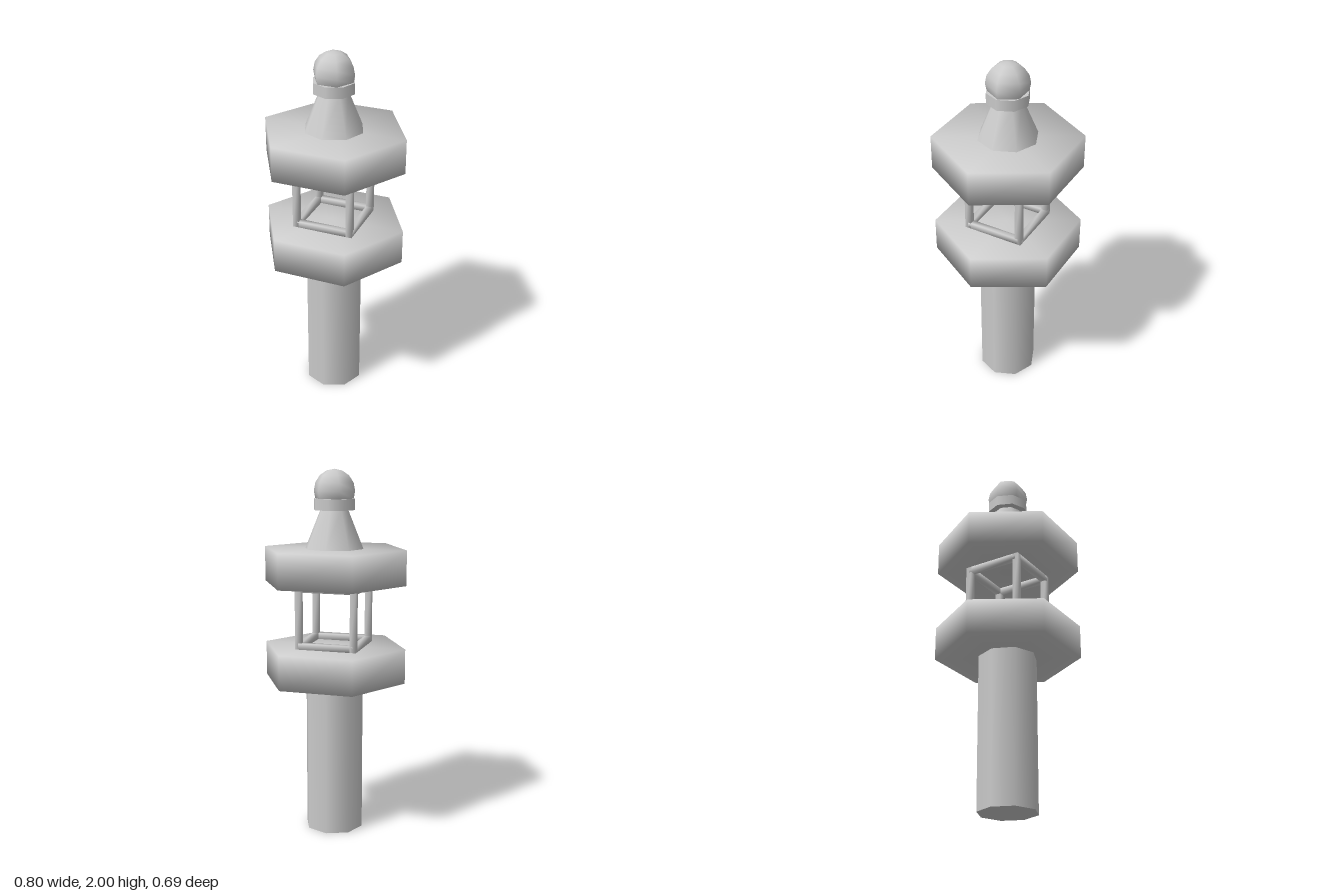
import * as THREE from 'three';
import { mergeVertices } from 'three/addons/utils/BufferGeometryUtils.js';

const material = new THREE.MeshStandardMaterial({ color: 0xcccccc, side: THREE.DoubleSide });

// Share corners so that normals blend across every edge
function soften(geometry) {
  geometry.deleteAttribute('normal');
  geometry.deleteAttribute('uv');
  const merged = mergeVertices(geometry);
  merged.computeVertexNormals();
  return merged;
}

export function createModel() {
  const model = new THREE.Group();
  model.name = 'stoneLantern';

  const add = (parent, name, geometry, x = 0, y = 0, z = 0) => {
    const mesh = new THREE.Mesh(geometry, material);
    mesh.name = name;
    mesh.position.set(x, y, z);
    parent.add(mesh);
    return mesh;
  };

  // Upright prism or cone between two heights
  const column = (name, rTop, rBottom, y0, y1, sides) =>
    add(model, name, new THREE.CylinderGeometry(rTop, rBottom, y1 - y0, sides), 0, (y0 + y1) / 2, 0);

  // Octagonal shaft
  column('shaft', 0.163, 0.163, 0, 0.855, 8);

  // Hexagonal platform and roof, corners on the x axis
  for (const [name, y] of [['platform', 0.95], ['roof', 1.485]]) {
    const slab = new THREE.CylinderGeometry(0.4, 0.4, 0.19, 6).rotateY(Math.PI / 2);
    add(model, name, soften(slab), 0, y, 0);
  }

  // Open light box: four posts joined by rails at top and bottom
  const lightBox = new THREE.Group();
  lightBox.name = 'lightBox';
  model.add(lightBox);
  const half = 0.153, bar = 0.034;
  const post = soften(new THREE.BoxGeometry(bar, 0.345, bar));
  const rail = soften(new THREE.BoxGeometry(half * 2, bar, bar));
  for (const sx of [-1, 1])
    for (const sz of [-1, 1]) add(lightBox, 'post', post, sx * half, 1.2175, sz * half);
  for (const y of [1.062, 1.373])
    for (const s of [-1, 1]) {
      add(lightBox, 'rail', rail, 0, y, s * half);
      add(lightBox, 'rail', rail, s * half, y, 0).rotation.y = Math.PI / 2;
    }

  // Spire, collar and rounded finial
  column('spire', 0.078, 0.163, 1.58, 1.785, 8);
  column('collar', 0.115, 0.115, 1.785, 1.845, 8);
  add(model, 'finial', new THREE.SphereGeometry(0.115, 6, 8), 0, 1.885, 0);

  return model;
}
